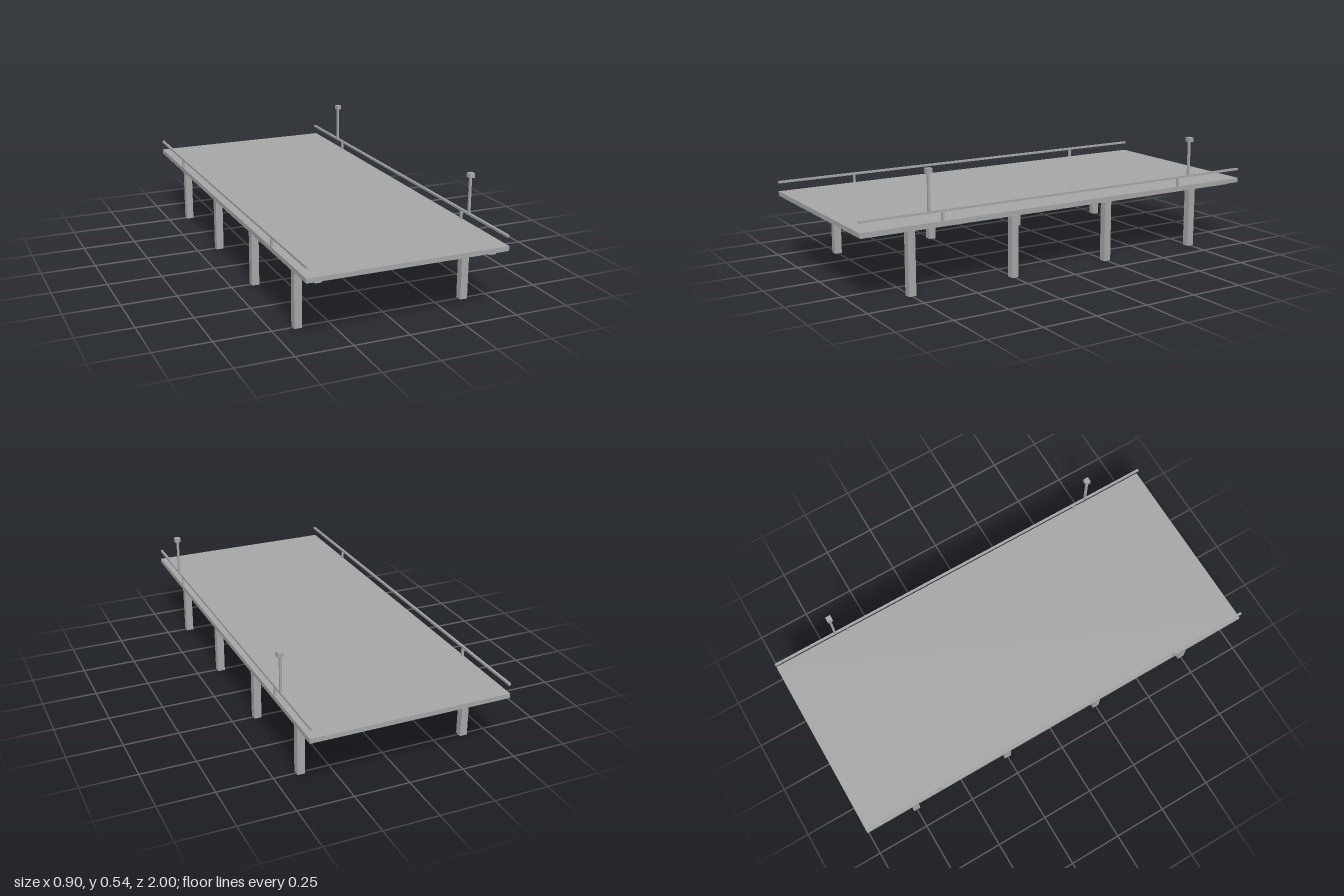
import * as THREE from 'three';

export function createModel() {
  const model = new THREE.Group();
  model.name = 'bridge';
  const grey = new THREE.MeshStandardMaterial({ color: 0xa6a6a6 });
  grey.name = 'concreteGrey';

  // Box given by its centre in x and z, its bottom and top, and its width and depth
  function box(name, x, z, y0, y1, w, d) {
    const mesh = new THREE.Mesh(new THREE.BoxGeometry(w, y1 - y0, d), grey);
    mesh.name = name;
    mesh.position.set(x, (y0 + y1) / 2, z);
    model.add(mesh);
  }

  // Road deck
  box('deck', -0.004, 0, 0.294, 0.315, 0.898, 2);

  // Support beams and pillars along both sides
  for (const x of [-0.391, 0.383]) {
    box('beam', x, 0, 0.278, 0.294, 0.03, 1.95);
    for (const z of [-0.75, -0.25, 0.25, 0.75]) box('pillar', x, z, 0, 0.28, 0.034, 0.034);
  }

  // Handrails with their short posts
  for (const x of [-0.448, 0.438]) {
    box('handrail', x, 0, 0.353, 0.363, 0.01, 2);
    for (const z of [-0.625, 0.625]) box('railPost', x, z, 0.315, 0.354, 0.01, 0.01);
  }

  // Lamps standing on the left handrail
  for (const z of [-0.688, 0.688]) {
    box('lampPole', 0.438, z, 0.36, 0.523, 0.01, 0.01);
    box('lampHead', 0.439, z, 0.522, 0.542, 0.026, 0.025);
  }
  return model;
}
